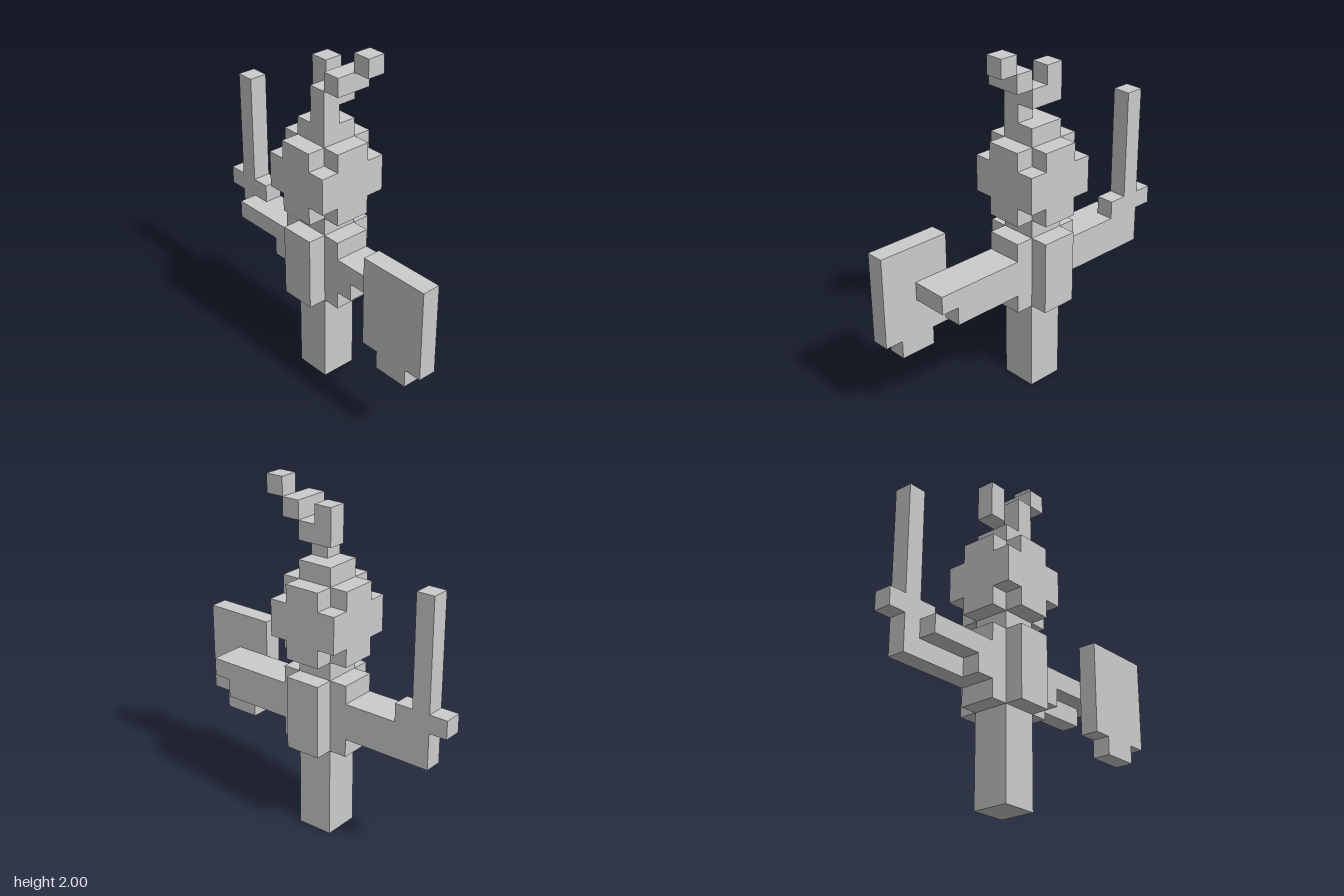
import * as THREE from 'three';

const U = 2 / 19; // size of one voxel; the grid is 17 x 19 x 4 voxels

export function createModel() {
  const model = new THREE.Group();
  const material = new THREE.MeshStandardMaterial({ color: 0xcccccc, flatShading: true });

  // Adds a named part made of boxes, each given as voxel ranges [x0, x1, y0, y1, z0, z1]
  function part(name, ...boxes) {
    const group = new THREE.Group();
    group.name = name;
    for (const [x0, x1, y0, y1, z0, z1] of boxes) {
      const geometry = new THREE.BoxGeometry((x1 - x0) * U, (y1 - y0) * U, (z1 - z0) * U);
      const mesh = new THREE.Mesh(geometry, material);
      mesh.name = name;
      mesh.position.set(((x0 + x1) / 2 - 8.5) * U, ((y0 + y1) / 2) * U, ((z0 + z1) / 2 - 2) * U);
      group.add(mesh);
    }
    model.add(group);
  }

  part('post', [7, 9, 0, 5, 1, 3]);

  // Cross-shaped body
  part('torso',
    [7, 9, 5, 9, 0, 4],
    [6, 7, 5, 9, 1, 3],
    [9, 10, 5, 9, 1, 3]);

  part('neck', [7, 9, 9, 10, 1, 3]);

  // Cube with its eight corners cut away
  part('head',
    [7, 9, 10, 14, 0, 4],
    [6, 7, 10, 14, 1, 3], [9, 10, 10, 14, 1, 3],
    [6, 7, 11, 13, 0, 1], [9, 10, 11, 13, 0, 1],
    [6, 7, 11, 13, 3, 4], [9, 10, 11, 13, 3, 4]);
  part('headCap', [7, 9, 14, 15, 1, 3]);

  // Branching plume
  part('plumeStem', [8, 9, 15, 17, 2, 3]);
  part('plumeRightBranch', [8, 9, 16, 17, 1, 2], [7, 8, 16, 18, 1, 2]);
  part('plumeLeftBranch', [9, 10, 17, 18, 1, 3]);
  part('plumeTip', [10, 11, 18, 19, 1, 2]);

  // Arms, stepped on the underside
  part('rightArm',
    [2, 6, 6, 8, 1, 2],
    [2, 6, 7, 8, 2, 3],
    [5, 6, 6, 7, 2, 3]);
  part('leftArm',
    [10, 15, 7, 8, 1, 3],
    [10, 14, 6, 7, 1, 2],
    [10, 11, 6, 7, 2, 3]);

  part('swordBlade', [1, 2, 6, 15 + 1 - 1, 1, 2]);
  part('swordGuard', [0, 1, 8, 9, 1, 2], [2, 3, 8, 9, 1, 2]);

  part('shield', [13, 17, 5, 10, 3, 4], [14, 16, 4, 5, 3, 4]);

  return model;
}
